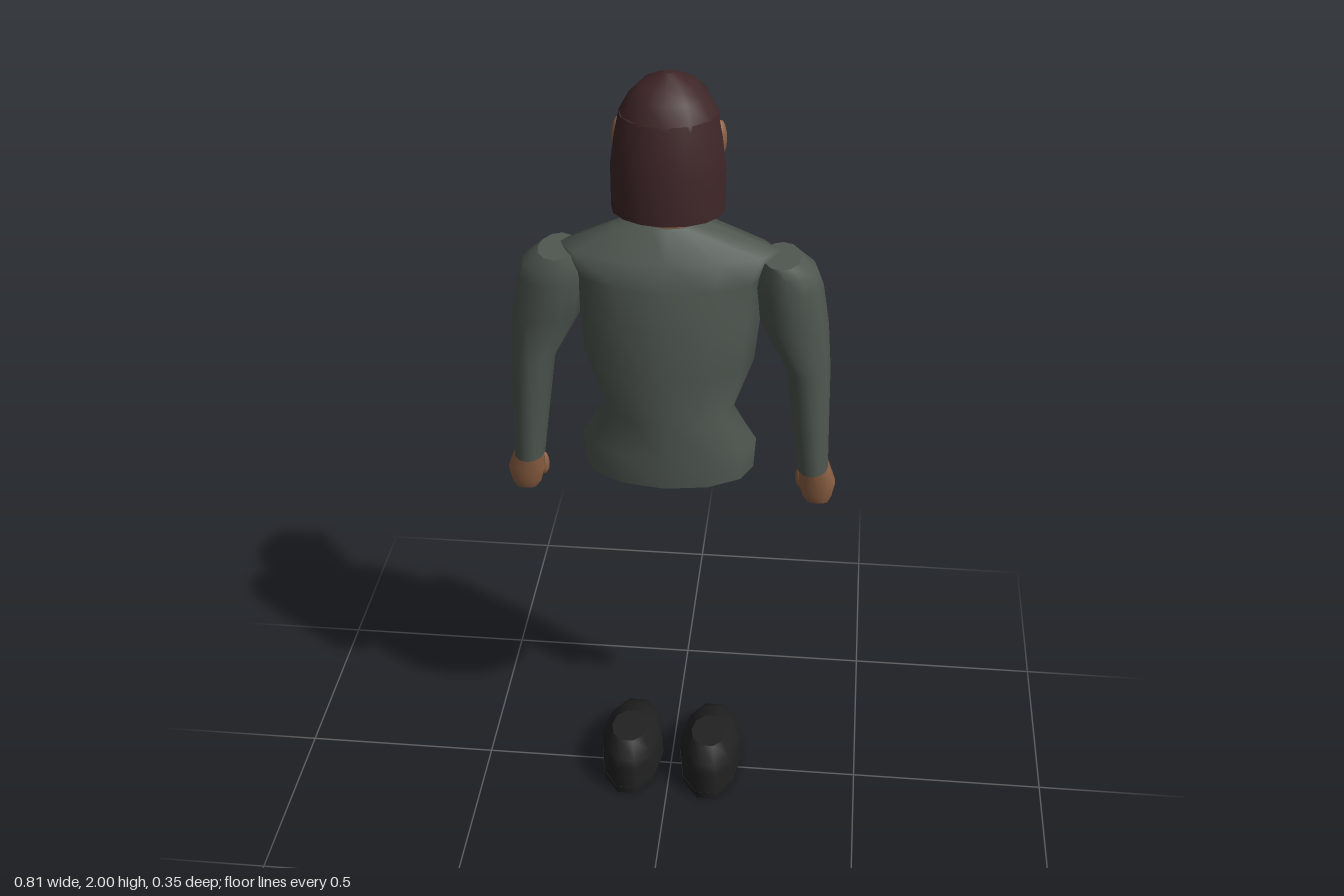
import * as THREE from 'three';

const mat = (name, color, side = THREE.FrontSide) => {
  const m = new THREE.MeshStandardMaterial({ color, side });
  m.name = name;
  return m;
};

// Stacks elliptical rings [y, halfWidth, zMin, zMax, centreX] from bottom to top, with sharp flat caps.
function loft(rings, n = 12, { offset = 0, arc = Math.PI * 2 } = {}) {
  const full = arc > 6.28, cols = full ? n : n + 1;
  const start = full ? (offset * Math.PI * 2) / n : -arc / 2;
  const pos = [], idx = [];
  const addRing = ([y, rx, z0, z1, cx = 0]) => {
    for (let j = 0; j < cols; j++) {
      const a = start + (j / n) * arc;
      pos.push(cx + rx * Math.sin(a), y, (z0 + z1) / 2 + ((z1 - z0) / 2) * Math.cos(a));
    }
  };
  rings.forEach(addRing);
  for (let i = 0; i < rings.length - 1; i++) {
    for (let j = 0; j < n; j++) {
      const k = (j + 1) % cols;
      const a = i * cols + j, b = i * cols + k;
      idx.push(a, b, a + cols, b, b + cols, a + cols);
    }
  }
  for (const [ring, top] of [[rings[0], false], [rings[rings.length - 1], true]]) {
    const base = pos.length / 3;
    addRing(ring);
    pos.push(ring[4] || 0, ring[0], (ring[2] + ring[3]) / 2);
    for (let j = 0; j < n; j++) {
      const a = base + j, b = base + ((j + 1) % cols);
      if (top) idx.push(base + cols, a, b);
      else idx.push(base + cols, b, a);
    }
  }
  const g = new THREE.BufferGeometry();
  g.setAttribute('position', new THREE.Float32BufferAttribute(pos, 3));
  g.setIndex(idx);
  g.computeVertexNormals();
  return g;
}

export function createModel() {
  const group = new THREE.Group();
  const skin = mat('skin', 0x8f6245);
  const hair = mat('hair', 0x3f2628, THREE.DoubleSide);
  const cloth = mat('sweater', 0x505851);
  const shoe = mat('shoe', 0x222222);
  const white = mat('eyeWhite', 0xb8b0a4);
  const dark = mat('iris', 0x1c1412);
  const lip = mat('lips', 0x74503e);

  const add = (name, geometry, material) => {
    const m = new THREE.Mesh(geometry, material);
    m.name = name;
    group.add(m);
    return m;
  };
  const blob = (name, material, p, s) => {
    const m = add(name, new THREE.SphereGeometry(1, 10, 8), material);
    m.position.set(...p);
    m.scale.set(...s);
    return m;
  };
  // Moves ring centres to one side of the body
  const sided = (rings, s) => rings.map(([y, rx, z0, z1, cx]) => [y, rx, z0, z1, cx * s]);

  // Torso
  add('torso', loft([
    [1.0, 0.205, -0.085, 0.16], [1.08, 0.21, -0.09, 0.165], [1.175, 0.155, -0.072, 0.17],
    [1.3, 0.2, -0.09, 0.175], [1.42, 0.213, -0.11, 0.175], [1.52, 0.22, -0.08, 0.165],
    [1.585, 0.25, -0.06, 0.15], [1.65, 0.07, -0.04, 0.1],
  ]), cloth);

  // Neck and head
  add('neck', loft([[1.63, 0.07, -0.022, 0.097], [1.77, 0.066, -0.02, 0.093]]), skin);
  add('head', loft([
    [1.732, 0.045, -0.022, 0.05], [1.76, 0.075, -0.045, 0.085], [1.8, 0.095, -0.06, 0.12],
    [1.86, 0.11, -0.065, 0.13], [1.925, 0.1, -0.052, 0.14],
  ]), skin);
  add('nose', loft([
    [1.81, 0.019, -0.088, -0.045], [1.827, 0.02, -0.118, -0.045], [1.882, 0.009, -0.07, -0.045],
  ], 8), skin);
  blob('mouth', lip, [0, 1.782, -0.051], [0.028, 0.008, 0.008]);

  // Hair: cap over the skull and a straight drape behind the ears
  add('hairCap', loft([
    [1.897, 0.113, -0.064, 0.156], [1.91, 0.111, -0.063, 0.153], [1.95, 0.088, -0.048, 0.132],
    [1.975, 0.062, -0.025, 0.108], [2.0, 0.012, 0.038, 0.062],
  ]), hair);
  add('hairDrape', loft([
    [1.69, 0.128, -0.04, 0.176], [1.79, 0.129, -0.04, 0.174],
    [1.86, 0.12, -0.04, 0.164], [1.91, 0.11, -0.035, 0.152],
  ], 8, { arc: Math.PI }), hair);

  for (const s of [-1, 1]) {
    const side = s > 0 ? 'left' : 'right';

    // Face details
    blob(side + 'Ear', skin, [s * 0.113, 1.848, 0.042], [0.015, 0.043, 0.023]);
    blob(side + 'Eye', white, [s * 0.042, 1.853, -0.053], [0.018, 0.008, 0.006]);
    blob(side + 'Iris', dark, [s * 0.042, 1.853, -0.056], [0.008, 0.008, 0.005]);
    const brow = add(side + 'Brow', new THREE.BoxGeometry(0.044, 0.008, 0.009), hair);
    brow.position.set(s * 0.043, 1.877, -0.056);
    brow.rotation.set(0, -s * 0.23, -s * 0.1);

    // Sleeve
    add(side + 'Arm', loft(sided([
      [1.0, 0.038, -0.032, 0.075, 0.348], [1.28, 0.053, -0.036, 0.092, 0.327],
      [1.4, 0.08, -0.04, 0.105, 0.291], [1.5, 0.08, -0.044, 0.116, 0.275],
      [1.54, 0.068, -0.043, 0.118, 0.272], [1.567, 0.045, -0.038, 0.112, 0.258],
    ], s)), cloth);

    // Hand with thumb
    add(side + 'Hand', loft(sided([
      [0.885, 0.026, -0.014, 0.014, 0.364], [0.905, 0.038, -0.024, 0.022, 0.362],
      [0.945, 0.047, -0.03, 0.03, 0.361], [1.015, 0.034, -0.028, 0.04, 0.35],
    ], s), 10), skin);
    blob(side + 'Thumb', skin, [s * 0.322, 0.943, -0.018], [0.015, 0.033, 0.014]);

    // Shoe and sole
    add(side + 'Sole', loft(sided([
      [0, 0.08, -0.18, 0.14, 0.107], [0.022, 0.084, -0.186, 0.144, 0.107],
    ], s), 10, { offset: 0.5 }), shoe);
    add(side + 'Shoe', loft(sided([
      [0.022, 0.082, -0.184, 0.143, 0.107], [0.05, 0.083, -0.182, 0.143, 0.107],
      [0.085, 0.08, -0.166, 0.143, 0.107], [0.118, 0.071, -0.112, 0.143, 0.107],
      [0.157, 0.048, -0.024, 0.105, 0.107],
    ], s), 10, { offset: 0.5 }), shoe);
  }
  return group;
}
